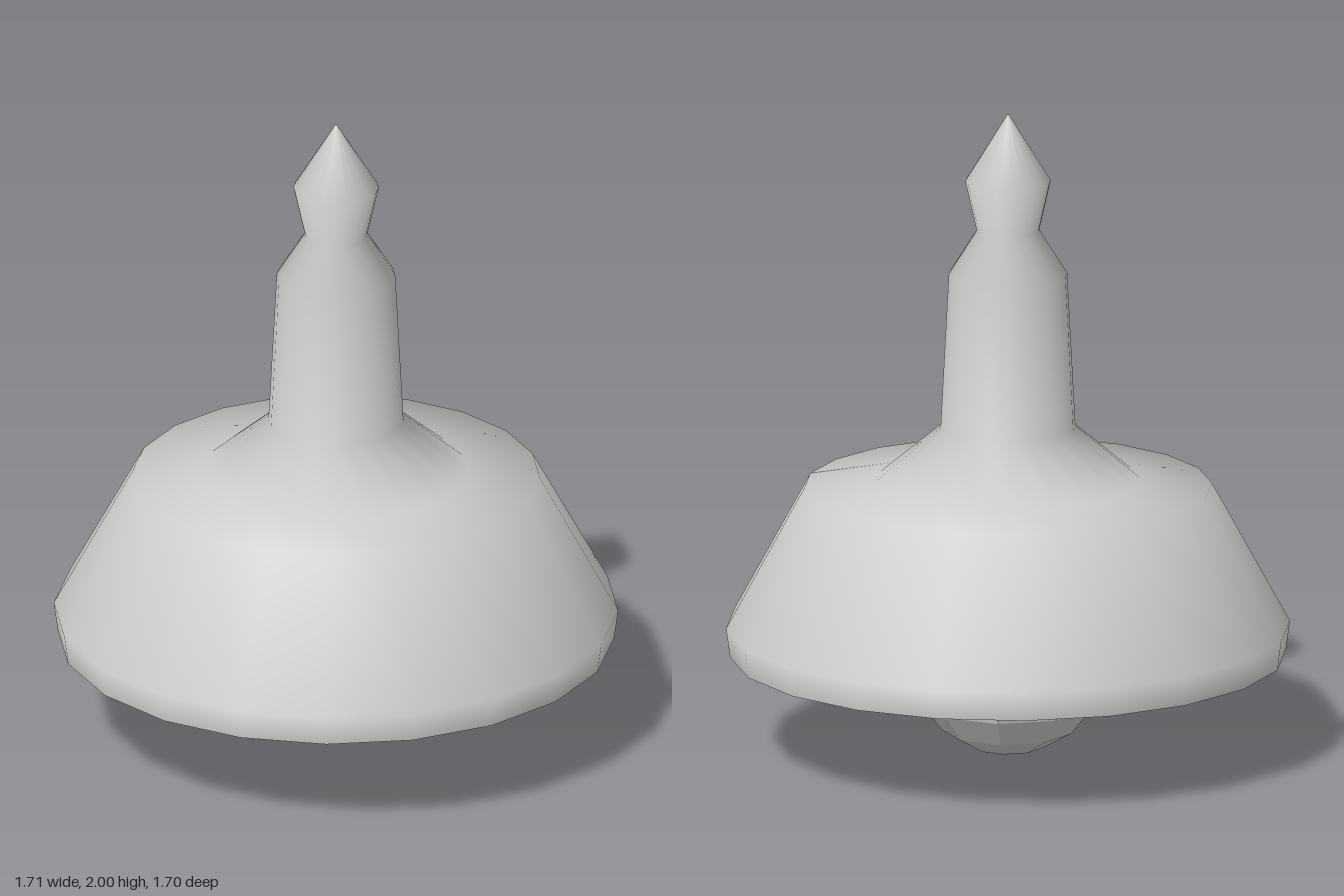
import * as THREE from 'three';

const grey = new THREE.MeshStandardMaterial({ color: 0xcccccc });
const faceted = new THREE.MeshStandardMaterial({ color: 0xcccccc, flatShading: true });

// Revolve a list of [radius, height] points around the y axis
function turned(name, profile, sides, material, start = 0) {
  const points = profile.map(([r, y]) => new THREE.Vector2(r, y));
  const mesh = new THREE.Mesh(new THREE.LatheGeometry(points, sides, start), material);
  mesh.name = name;
  return mesh;
}

export function createModel() {
  const model = new THREE.Group();
  model.name = 'pendantLamp';

  // Outer skin: rim, sloping shade, collar, stem and pointed finial
  const shade = new THREE.Group();
  shade.name = 'shade';
  shade.scale.z = 0.99;
  shade.add(turned('shadeAndStem', [
    [0.845, 0.31], [0.857, 0.40], [0.62, 0.835], [0.40, 0.855], [0.205, 1.02],
    [0.18, 1.50], [0.095, 1.635], [0.13, 1.79], [0, 2],
  ], 20, grey));

  // Hollow inside of the shade, facing inwards and down
  shade.add(turned('innerWall', [[0.44, 0.77], [0.845, 0.31]], 20, grey));
  shade.add(turned('innerCeiling', [[0, 0.77], [0.44, 0.77]], 20, grey));
  model.add(shade);

  // Nine-sided bulb with a rounded end
  model.add(turned('bulb', [
    [0, 0], [0.105, 0.02], [0.2, 0.073], [0.265, 0.155], [0.297, 0.26], [0.3, 0.32], [0.3, 0.77],
  ], 9, faceted, Math.PI / 2));

  return model;
}
